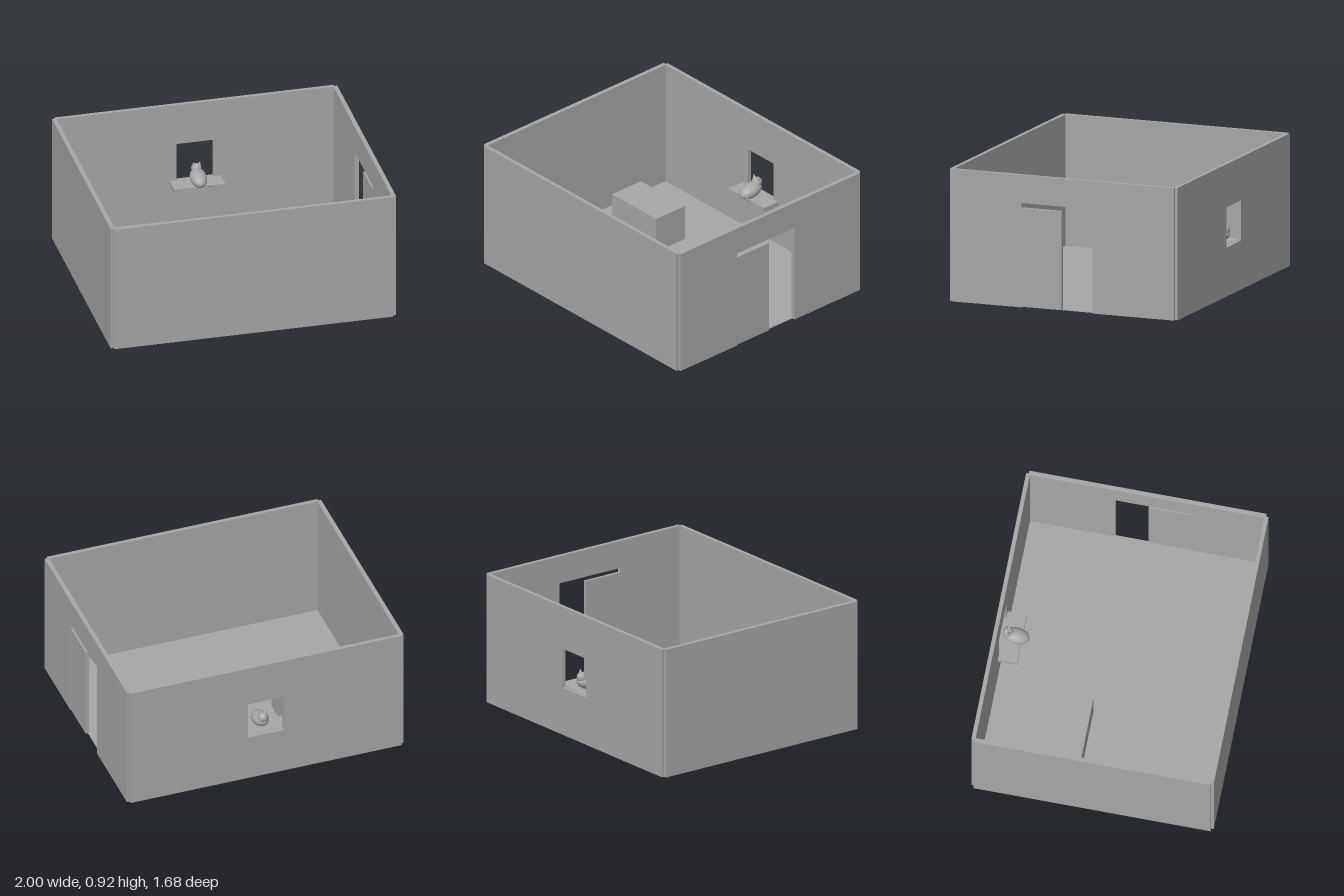
import * as THREE from 'three';

export function createModel() {
  const room = new THREE.Group();
  room.name = 'room';
  const grey = new THREE.MeshStandardMaterial({ color: 0xa6a6a6 });
  grey.name = 'plain grey';

  const add = (parent, name, geometry, x = 0, y = 0, z = 0) => {
    const mesh = new THREE.Mesh(geometry, grey);
    mesh.name = name;
    mesh.position.set(x, y, z);
    parent.add(mesh);
    return mesh;
  };
  // Box given by its minimum and maximum corners
  const block = (name, a, b) => add(room, name,
    new THREE.BoxGeometry(b[0] - a[0], b[1] - a[1], b[2] - a[2]),
    (a[0] + b[0]) / 2, (a[1] + b[1]) / 2, (a[2] + b[2]) / 2);
  const polygon = (points) => points.map(([x, y]) => new THREE.Vector2(x, y));
  const H = 0.92;

  // Floor and plain walls
  block('floor', [-0.98, 0, -0.82], [0.98, 0.006, 0.82]);
  block('frontWall', [-0.98, 0, 0.812], [0.98, H, 0.84]);
  block('rightWall', [-1, 0, -0.822], [-0.97, H, 0.822]);

  // Back wall with a window hole
  const back = new THREE.Shape(polygon([[-0.98, 0], [0.98, 0], [0.98, H], [-0.98, H]]));
  back.holes.push(new THREE.Path(polygon([[-0.13, 0.34], [-0.13, 0.62], [0.13, 0.62], [0.13, 0.34]])));
  add(room, 'backWall', new THREE.ExtrudeGeometry(back, { depth: 0.028, bevelEnabled: false }), 0, 0, -0.84);

  // Left wall with a doorway, drawn in z and y
  const side = new THREE.Shape(polygon([
    [-0.822, 0], [-0.22, 0], [-0.22, 0.725], [0.305, 0.725],
    [0.305, 0], [0.822, 0], [0.822, H], [-0.822, H],
  ]));
  const sideGeometry = new THREE.ExtrudeGeometry(side, { depth: 0.03, bevelEnabled: false });
  sideGeometry.rotateY(-Math.PI / 2);
  add(room, 'leftWall', sideGeometry, 1, 0, 0);

  // Half-open sliding door
  block('slidingDoor', [0.973, 0.004, 0.01], [0.997, 0.69, 0.305]);

  // Furniture
  block('lowCabinet', [-0.75, 0.004, -0.39], [-0.3, 0.265, -0.125]);
  block('windowShelf', [-0.18, 0.31, -0.812], [0.18, 0.342, -0.68]);

  // Cat sitting on the shelf, looking out
  const cat = new THREE.Group();
  cat.name = 'cat';
  room.add(cat);
  const ball = new THREE.SphereGeometry(1, 24, 16);
  const body = add(cat, 'catBody', ball, 0, 0.392, -0.718);
  body.scale.set(0.058, 0.05, 0.092);
  body.rotation.x = 0.2;
  add(cat, 'catHead', ball, 0, 0.437, -0.775).scale.setScalar(0.036);
  for (const s of [-1, 1]) {
    const ear = add(cat, 'catEar', new THREE.ConeGeometry(0.015, 0.034, 12), s * 0.021, 0.474, -0.77);
    ear.rotation.z = -s * 0.25;
  }

  // Tail curling off the back of the body
  const tailPath = new THREE.CatmullRomCurve3([
    new THREE.Vector3(0.025, 0.375, -0.665),
    new THREE.Vector3(0.05, 0.37, -0.64),
    new THREE.Vector3(0.068, 0.38, -0.613),
  ]);
  add(cat, 'catTail', new THREE.TubeGeometry(tailPath, 12, 0.008, 10));
  add(cat, 'catTailTip', ball, 0.068, 0.38, -0.613).scale.setScalar(0.008);

  return room;
}
